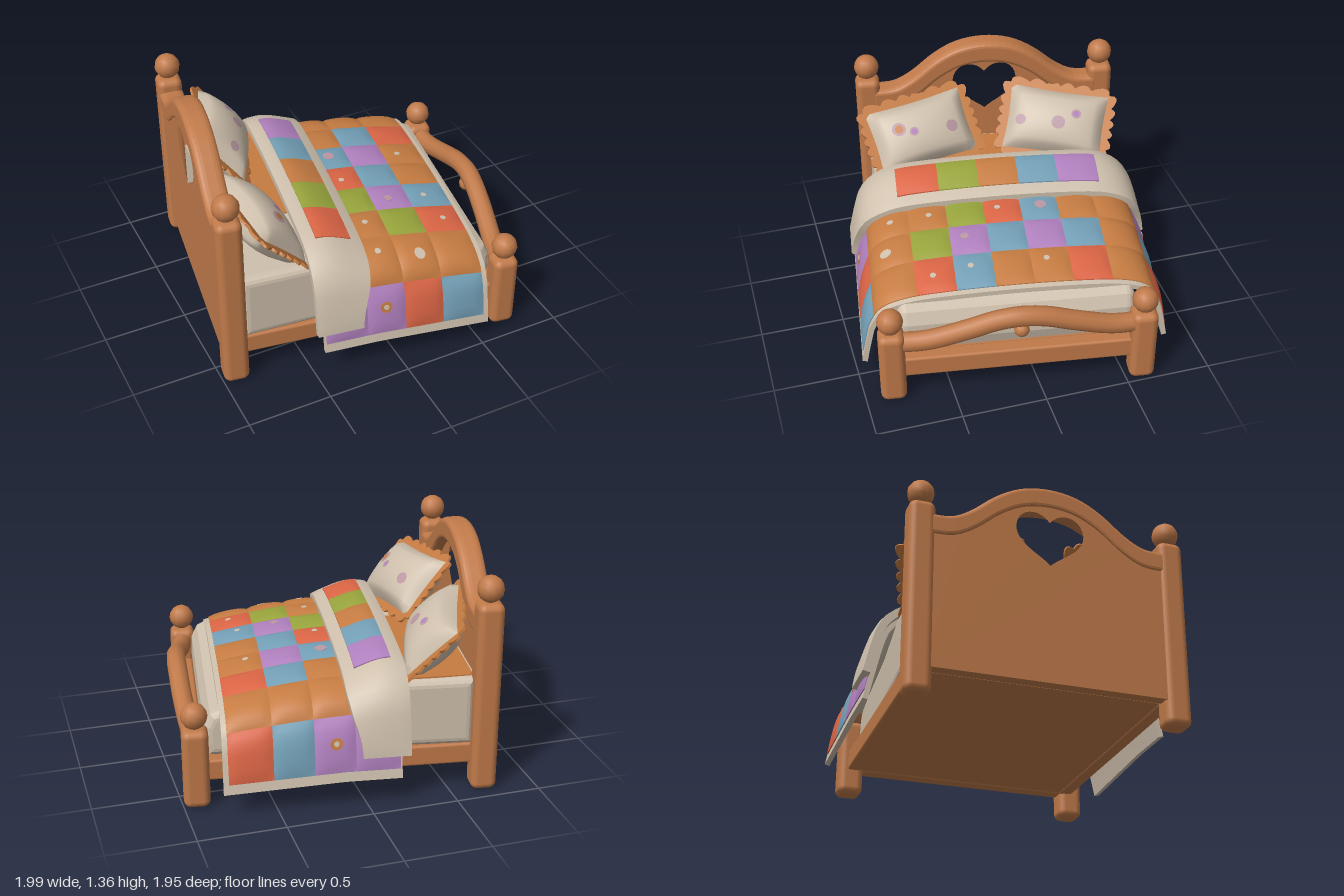
import * as THREE from 'three';
import { RoundedBoxGeometry } from 'three/addons/geometries/RoundedBoxGeometry.js';

const mat = (name, color) => new THREE.MeshStandardMaterial({ name, color });
const M = {
  wood: mat('wood', 0xc07a4a), cream: mat('cream linen', 0xcfc0ad), orange: mat('orange cloth', 0xc67c42),
  purple: mat('purple cloth', 0xb080be), blue: mat('blue cloth', 0x739fb6), red: mat('red cloth', 0xdb6545),
  green: mat('green cloth', 0x98a43c), mauve: mat('mauve print', 0xba98a4),
};

function add(parent, name, geo, material, x = 0, y = 0, z = 0) {
  const mesh = new THREE.Mesh(geo, material);
  mesh.name = name;
  mesh.position.set(x, y, z);
  parent.add(mesh);
  return mesh;
}

// Move every vertex of a geometry by a rule
function warp(geo, rule) {
  const p = geo.attributes.position, v = new THREE.Vector3();
  for (let i = 0; i < p.count; i++) {
    rule(v.fromBufferAttribute(p, i));
    p.setXYZ(i, v.x, v.y, v.z);
  }
  geo.computeVertexNormals();
  return geo;
}

// Bedding steps down after the fold, then sinks towards the foot end
const sag = (x) => 0.04 - 0.075 * THREE.MathUtils.smoothstep(x, -0.28, 0.02) - 0.17 * Math.max(0, x) ** 1.5;

// Cross-section of the draped quilt, from one hem over the bed to the other
const half = [[0.4, 0.675], [0.63, 0.65], [0.75, 0.58], [0.8, 0.47], [0.84, 0.31], [0.87, 0.165]];
const profile = new THREE.SplineCurve([
  ...half.map(([z, y]) => new THREE.Vector2(-z, y)).reverse(),
  new THREE.Vector2(0, 0.685),
  ...half.map(([z, y]) => new THREE.Vector2(z, y)),
]);
profile.arcLengthDivisions = 400;
const LEN = profile.getLength();

// Lay a unit-sized geometry over the profile: x along the bed, z across it, y is the layer height
function drape(geo, x0, x1, s0, s1, o0, o1, puff = 0) {
  return warp(geo, (v) => {
    const x = THREE.MathUtils.lerp(x0, x1, v.x + 0.5);
    const s = THREE.MathUtils.lerp(s0, s1, v.z + 0.5);
    const u = THREE.MathUtils.clamp(s / LEN + 0.5, 0, 1);
    const p = profile.getPointAt(u), t = profile.getTangentAt(u);
    const swell = Math.sqrt(Math.max(0, Math.cos(v.x * Math.PI) * Math.cos(v.z * Math.PI)));
    const o = THREE.MathUtils.lerp(o0, o1, v.y + 0.5) + (v.y > 0 ? puff * swell : 0);
    const w = THREE.MathUtils.clamp((p.y - 0.4) / 0.25, 0, 1);
    const hem = 0.05 * Math.max(0, x) * (1 - w);
    v.set(x, p.y + t.x * o + sag(x) * w - hem, p.x - t.y * o);
  });
}
const slab = (nx, nz) => new THREE.BoxGeometry(1, 1, 1, nx, 1, nz);

function buildFrame(bed) {
  // Posts with ball finials
  for (const [name, x, z, h, r] of [
    ['headPost', -0.816, -0.735, 1.14, 0.077], ['headPost', -0.816, 0.735, 1.14, 0.077],
    ['footPost', 0.822, -0.716, 0.475, 0.076], ['footPost', 0.822, 0.733, 0.475, 0.076],
  ]) {
    add(bed, name, new RoundedBoxGeometry(0.15, h, 0.15, 3, 0.042), M.wood, x, h / 2, z);
    add(bed, name + 'Ball', new THREE.SphereGeometry(r, 12, 8), M.wood, x, h + r * 0.95, z);
  }
  for (const side of [-1, 1]) {
    add(bed, 'sideRail', new RoundedBoxGeometry(1.56, 0.125, 0.08, 2, 0.015), M.wood, 0, 0.212, side * 0.7);
  }
  add(bed, 'footRail', new RoundedBoxGeometry(0.09, 0.13, 1.4, 2, 0.015), M.wood, 0.81, 0.215, 0);
  add(bed, 'bedBase', new THREE.BoxGeometry(1.56, 0.11, 1.36), M.wood, 0, 0.215, 0);

  // Headboard panel with a heart cut-out
  const crest = [[0.69, 1.04], [0.56, 1.05], [0.44, 1.115], [0.3, 1.23], [0.16, 1.305]];
  const curve = new THREE.SplineCurve([
    ...crest.map(([x, y]) => new THREE.Vector2(-x, y)),
    new THREE.Vector2(0, 1.33),
    ...crest.map(([x, y]) => new THREE.Vector2(x, y)).reverse(),
  ]).getPoints(40);
  const panel = new THREE.Shape([
    new THREE.Vector2(-0.69, 0.15),
    ...curve.map((p) => new THREE.Vector2(p.x, p.y - 0.01)),
    new THREE.Vector2(0.69, 0.15),
  ]);
  const heart = new THREE.Path();
  heart.moveTo(0, 0.86);
  heart.bezierCurveTo(-0.06, 0.92, -0.2, 0.97, -0.2, 1.08);
  heart.bezierCurveTo(-0.19, 1.2, -0.06, 1.22, 0, 1.13);
  heart.bezierCurveTo(0.06, 1.22, 0.19, 1.2, 0.2, 1.08);
  heart.bezierCurveTo(0.2, 0.97, 0.06, 0.92, 0, 0.86);
  panel.holes.push(heart);
  const panelGeo = new THREE.ExtrudeGeometry(panel, { depth: 0.07, bevelEnabled: false, curveSegments: 10 });
  add(bed, 'headboardPanel', panelGeo, M.wood, -0.875, 0, 0).rotation.y = Math.PI / 2;

  // Raised rounded moulding along the crest
  const band = new THREE.Shape([
    ...curve, ...curve.map((p) => new THREE.Vector2(p.x, p.y - 0.08)).reverse(),
  ]);
  const bandGeo = new THREE.ExtrudeGeometry(band, {
    depth: 0.055, bevelThickness: 0.045, bevelSize: 0.03, bevelSegments: 4,
  });
  add(bed, 'headboardCrest', bandGeo, M.wood, -0.84, 0, 0).rotation.y = Math.PI / 2;

  // Bowed arch of the footboard with a hanging knob
  const arch = [[0.82, 0.39, 0.72], [0.845, 0.41, 0.53], [0.87, 0.485, 0.3], [0.88, 0.54, 0.14]];
  const path = new THREE.CatmullRomCurve3([
    ...arch.map(([x, y, z]) => new THREE.Vector3(x, y, -z)),
    new THREE.Vector3(0.885, 0.56, 0),
    ...arch.map(([x, y, z]) => new THREE.Vector3(x, y, z)).reverse(),
  ]);
  add(bed, 'footArch', new THREE.TubeGeometry(path, 40, 0.058, 10), M.wood);
  add(bed, 'footKnob', new THREE.SphereGeometry(0.046, 10, 8), M.wood, 0.885, 0.465, 0);
}

function buildBedding(bed) {
  // Mattress from its side outline, lower and narrower at the foot
  const outline = new THREE.Shape([
    [-0.76, 0.265], [0.75, 0.265], [0.77, 0.34], [0.765, 0.45], [0.73, 0.52], [0.67, 0.55],
    [0.5, 0.57], [0, 0.605], [-0.32, 0.68], [-0.76, 0.685],
  ].map(([x, y]) => new THREE.Vector2(x, y)));
  const mattress = new THREE.ExtrudeGeometry(outline, {
    depth: 1.3, bevelThickness: 0.05, bevelSize: 0.05, bevelOffset: -0.05, bevelSegments: 4,
  });
  mattress.translate(0, 0, -0.65);
  add(bed, 'mattress', warp(mattress, (v) => { v.z *= 1.02 - 0.065 * v.x; }), M.cream);
  add(bed, 'underSheet', new THREE.BoxGeometry(0.42, 0.009, 0.92), M.orange, -0.54, 0.685, -0.24);

  // Quilt backing and its patches, row by row across the bed
  const E = LEN / 2;
  add(bed, 'quiltBacking', drape(slab(20, 70), -0.32, 0.68, -E, E, 0, 0.03), M.cream);
  const cols = [-0.31, -0.06, 0.17, 0.4, 0.65];
  const rows = [-1.15, -0.82, -0.56, -0.335, -0.11, 0.11, 0.335, 0.56, 0.84, 1.15];
  const patches = [
    ['purple', 'purple', 'blue', 'red'], ['orange', 'orange', 'orange', 'orange'],
    ['orange', 'orange', 'blue', 'red'], ['orange', 'blue', 'purple', 'orange'],
    ['orange', 'red', 'blue', 'orange'], ['orange', 'green', 'purple', 'blue'],
    ['orange', 'orange', 'green', 'red'], ['orange', 'orange', 'orange', 'orange'],
    ['purple', 'purple', 'red', 'blue'],
  ];
  patches.forEach((row, r) => row.forEach((color, c) => {
    const geo = drape(slab(8, 8), cols[c], cols[c + 1], rows[r], rows[r + 1], 0.02, 0.036, 0.016);
    add(bed, color + 'Patch', geo, M[color]);
  }));

  // Small printed dots
  const dot = (x, s, r, color, o = 0.047) => add(bed, 'quiltDot',
    drape(new THREE.CylinderGeometry(0.5, 0.5, 1, 10), x - r, x + r, s - r, s + r, o, o + 0.006), M[color]);
  for (const [x, s] of [[0.49, -0.2], [0.05, 0.03], [0.5, 0.24], [0.06, 0.44], [0.54, 0.46], [0.06, 0.66]]) {
    dot(x, s, 0.018, 'cream');
  }
  dot(0.3, 0.7, 0.032, 'cream');
  dot(0.05, -0.23, 0.036, 'mauve');
  dot(0.27, 0.25, 0.025, 'mauve');
  for (const s of [-0.98, 0.98]) {
    dot(0.05, s, 0.036, 'orange');
    dot(0.05, s, 0.016, 'cream', 0.05);
  }

  // Turned-down top of the quilt, narrowing to its hems, with a row of patches
  const fold = warp(slab(10, 60), (v) => {
    v.x -= (v.x + 0.5) * 0.22 * THREE.MathUtils.smoothstep(Math.abs(v.z), 0.32, 0.5);
  });
  add(bed, 'quiltFold', drape(fold, -0.365, -0.02, -1.07, 1.07, 0.03, 0.075, 0.02), M.cream);
  ['purple', 'blue', 'orange', 'green', 'red'].forEach((color, i) => {
    const s = -0.6 + i * 0.24;
    add(bed, color + 'FoldPatch', drape(slab(8, 8), -0.29, -0.085, s, s + 0.24, 0.07, 0.096, 0.008), M[color]);
  });
}

function buildPillow(bed, side) {
  const W = 0.318, H = 0.21;
  const pillow = new THREE.Group();
  pillow.name = 'pillow';
  pillow.position.set(-0.58, 0.855, side * 0.425);
  pillow.rotation.set(-0.75, Math.PI / 2 + side * 0.15, side * 0.14, 'YXZ');
  bed.add(pillow);

  // Cushion: thick in the middle, pinched at the seam
  const place = (u, v, f) => [
    u * W * (1 - 0.05 * (1 - v * v)), v * H * (1 - 0.07 * (1 - u * u)),
    f * 0.13 * Math.sqrt(Math.max(0, (1 - u * u) * (1 - v * v))) ** 0.8,
  ];
  const cushion = warp(new THREE.BoxGeometry(2, 2, 2, 16, 12, 1), (p) => p.set(...place(p.x, p.y, p.z)));
  add(pillow, 'cushion', cushion, M.cream);

  // Scalloped ruffle around the seam
  const pts = [], N = 120;
  for (let i = 0; i < N; i++) {
    const a = (i / N) * Math.PI * 2, c = Math.cos(a), s = Math.sin(a);
    const k = 1 / Math.pow(c ** 10 + s ** 10, 1 / 10), out = 0.02 + 0.028 * Math.abs(Math.sin(a * 12));
    pts.push(new THREE.Vector2(c * k * (W + out), s * k * (H + out)));
  }
  const ruffle = new THREE.ExtrudeGeometry(new THREE.Shape(pts), { depth: 0.016, bevelEnabled: false });
  add(pillow, 'ruffle', ruffle, M.orange, 0, 0, -0.008);

  // Printed flowers lying on the cushion
  const flower = (u, v, r, color, lift) => add(pillow, 'flowerPrint',
    warp(new THREE.CircleGeometry(r, 12), (p) => {
      p.set(...place(u + p.x / W, v + p.y / H, 1));
      p.z += lift;
    }), M[color]);
  const prints = side > 0
    ? [[-0.5, 0.2, 0.045, 'orange'], [0.58, -0.15, 0.04, 'mauve'], [-0.22, 0, 0.03, 'purple']]
    : [[0.06, -0.1, 0.045, 'mauve'], [-0.72, -0.15, 0.035, 'mauve'], [0.4, 0.25, 0.032, 'purple']];
  for (const [u, v, r, core] of prints) {
    flower(u, v, r, 'mauve', 0.005);
    flower(u, v, r * 0.6, core, 0.009);
  }
}

export function createModel() {
  const model = new THREE.Group();
  model.name = 'bed';
  const bed = new THREE.Group();
  bed.name = 'bedTurned';
  bed.rotation.y = -0.147;
  bed.position.z = -0.012;
  model.add(bed);
  buildFrame(bed);
  buildBedding(bed);
  for (const side of [-1, 1]) buildPillow(bed, side);
  return model;
}
